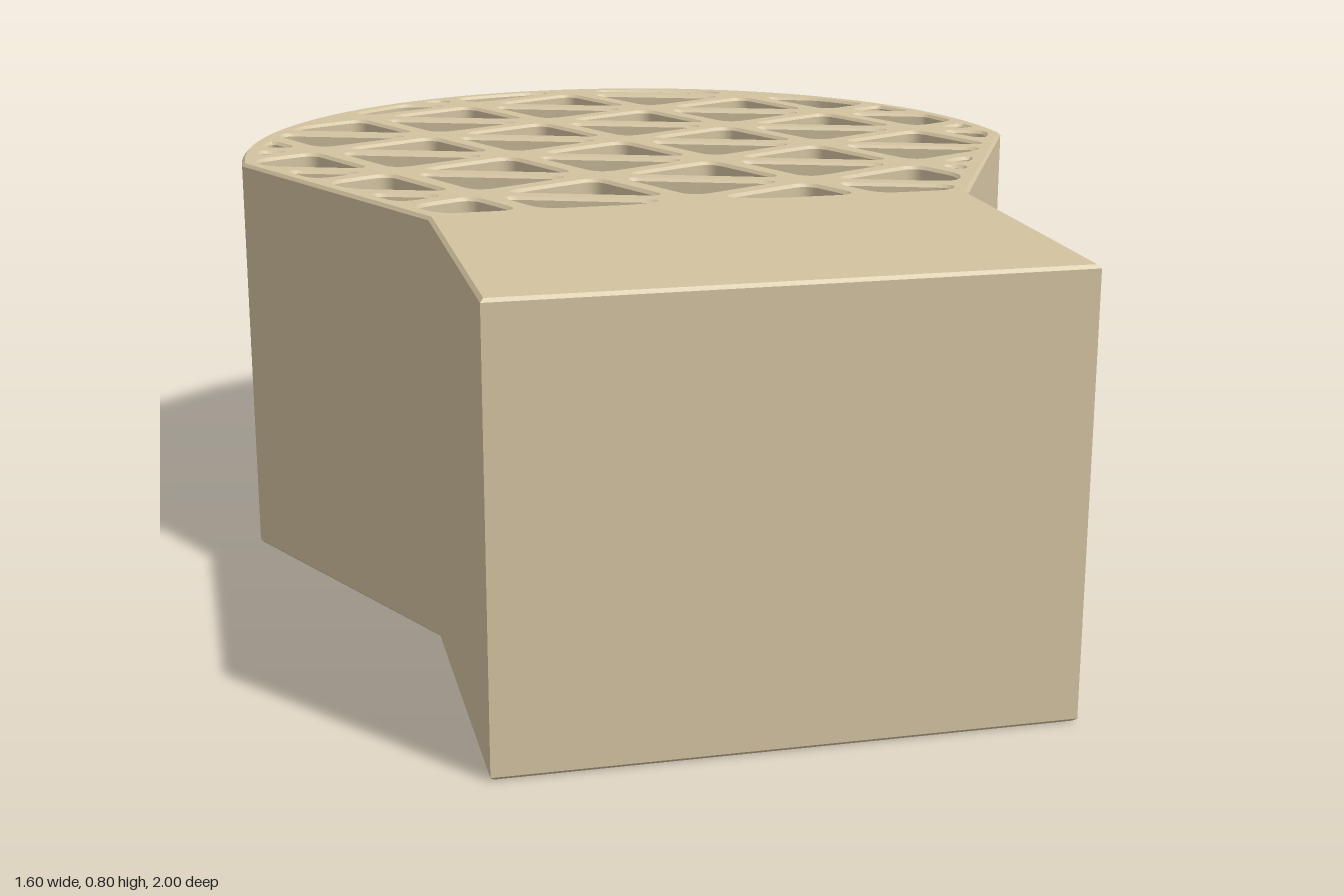
import * as THREE from 'three';
import { toCreasedNormals } from 'three/addons/utils/BufferGeometryUtils.js';

const HEIGHT = 0.8, BEVEL = 0.006, HALF_RIB = 0.022;
const V = (x, y) => new THREE.Vector2(x, y);

// Plan coordinates: x right, y towards the back (-z).
function arc(radius, steps) {
  return Array.from({ length: steps + 1 }, (_, i) => {
    const t = Math.PI * i / steps;
    return V(radius * Math.cos(t), 0.2 + radius * Math.sin(t));
  });
}

// Keep the part of a convex polygon lying at least d beyond the line through p with normal n.
function clip(poly, p, n, d) {
  const out = [];
  const dist = q => q.clone().sub(p).dot(n) - d;
  poly.forEach((q, i) => {
    const r = poly[(i + 1) % poly.length], dq = dist(q), dr = dist(r);
    if (dq >= 0) out.push(q);
    if (dq * dr < 0) out.push(q.clone().lerp(r, dq / (dq - dr)));
  });
  return out;
}

// Round every corner with a short quadratic curve.
function roundCorners(poly, cut) {
  const out = [];
  poly.forEach((q, i) => {
    const prev = poly[(i + poly.length - 1) % poly.length], next = poly[(i + 1) % poly.length];
    const toward = r => q.clone().lerp(r, Math.min(0.45, cut / q.distanceTo(r)));
    const turn = q.clone().sub(prev).normalize().dot(next.clone().sub(q).normalize());
    if (turn > 0.97) out.push(q);
    else out.push(...new THREE.QuadraticBezierCurve(toward(prev), q, toward(next)).getPoints(5));
  });
  return out;
}

// Triangular pockets: square grid with diagonals, turned and trimmed to the rim.
function latticeHoles() {
  const inner = [...arc(0.767, 48), V(-0.48, -0.36), V(0.48, -0.36)];
  const a = V(0.259, 0.124), b = V(0.124, -0.259), origin = V(0, 0.308);
  const node = (i, j) => origin.clone().addScaledVector(a, i).addScaledVector(b, j);
  const holes = [];
  for (let i = -5; i <= 5; i++) for (let j = -5; j <= 5; j++) {
    for (const mid of [node(i + 1, j), node(i, j + 1)]) {
      const tri = [node(i, j), mid, node(i + 1, j + 1)];
      const centre = tri[0].clone().add(tri[1]).add(tri[2]).divideScalar(3);
      let poly = inner;
      tri.forEach((p, k) => {
        const e = tri[(k + 1) % 3].clone().sub(p).normalize();
        const n = V(-e.y, e.x);
        if (centre.clone().sub(p).dot(n) < 0) n.negate();
        poly = clip(poly, p, n, HALF_RIB);
      });
      poly = poly.filter((q, k) => q.distanceTo(poly[(k + 1) % poly.length]) > 0.006);
      if (poly.length < 3 || Math.abs(THREE.ShapeUtils.area(poly)) < 0.0006) continue;
      holes.push(new THREE.Path(roundCorners(poly, 0.035)));
    }
  }
  return holes;
}

export function createModel() {
  const group = new THREE.Group();
  group.name = 'latticePaddle';

  // Round head tapering into a solid rectangular block
  const outline = new THREE.Shape([
    ...arc(0.8, 72), V(-0.505, -0.39), V(-0.505, -1), V(0.505, -1), V(0.505, -0.39),
  ]);
  outline.holes = latticeHoles();

  const geometry = new THREE.ExtrudeGeometry(outline, {
    depth: HEIGHT - 2 * BEVEL, bevelEnabled: true, bevelThickness: BEVEL,
    bevelSize: BEVEL, bevelOffset: -BEVEL, bevelSegments: 1,
  });
  geometry.translate(0, 0, BEVEL);
  geometry.rotateX(-Math.PI / 2);

  const body = new THREE.Mesh(
    toCreasedNormals(geometry, Math.PI / 7),
    new THREE.MeshStandardMaterial({ color: 0xd2c2a0 }),
  );
  body.name = 'latticeHeadAndBlock';
  group.add(body);
  return group;
}
